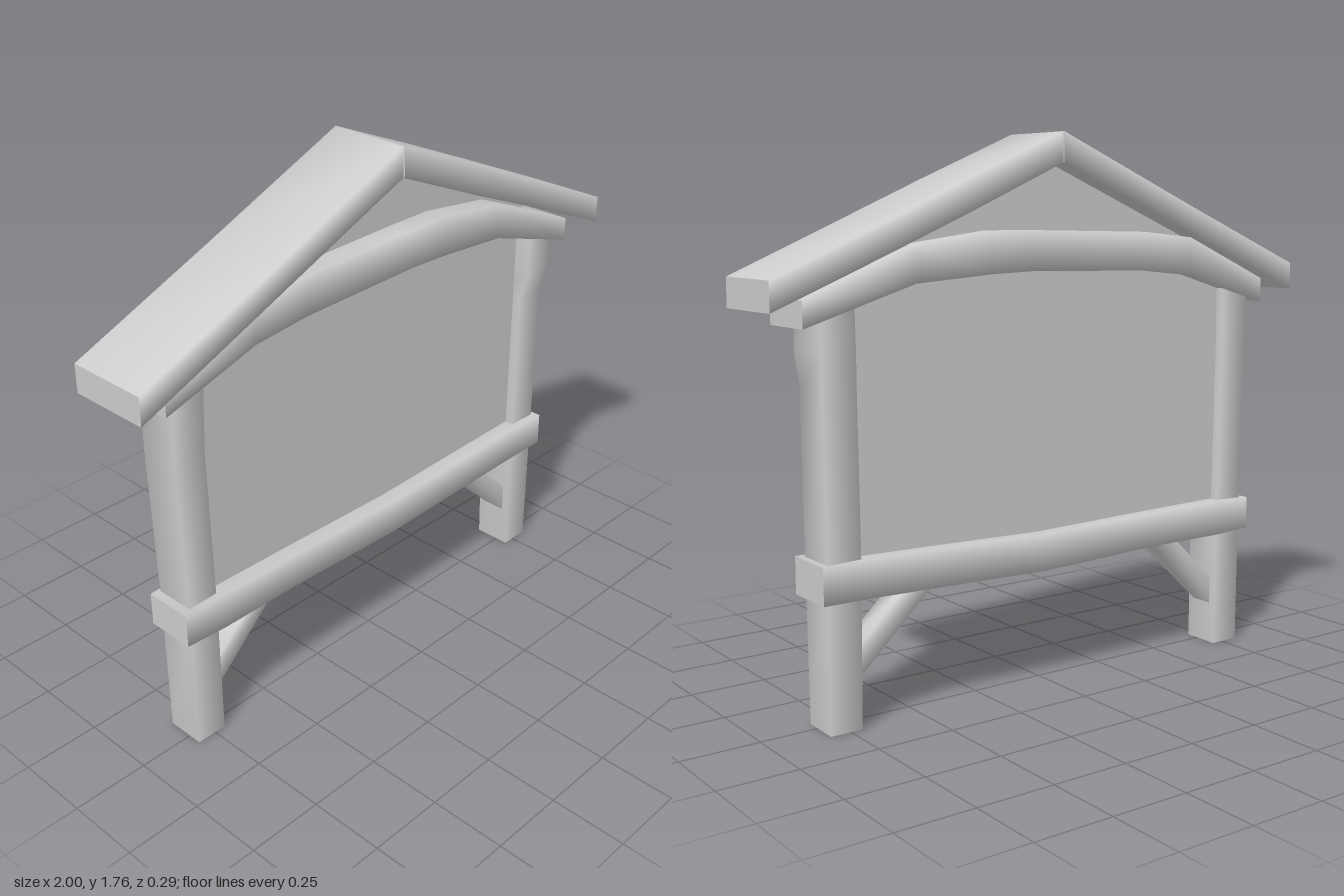
import * as THREE from 'three';

const material = new THREE.MeshStandardMaterial({ color: 0xcccccc });

// Four-sided timber lofted through stations [t, a0, a1, b0, b1], softly shaded with flat end caps.
// axis 'x': t = x, a = y, b = z.  axis 'y': t = y, a = z, b = x.
function timber(name, axis, stations) {
  const positions = [], index = [];
  const push = (t, a, b) => positions.push(...(axis === 'x' ? [t, a, b] : [b, t, a]));
  const ring = ([t, a0, a1, b0, b1]) => {
    push(t, a0, b0); push(t, a1, b0); push(t, a1, b1); push(t, a0, b1);
  };
  stations.forEach(ring);
  for (let k = 0; k < stations.length - 1; k++) {
    for (let i = 0; i < 4; i++) {
      const p = k * 4 + i, q = k * 4 + (i + 1) % 4;
      index.push(p, q, q + 4, p, q + 4, p + 4);
    }
  }
  // End caps use their own corners so the ends stay crisp
  const c = stations.length * 4;
  ring(stations[0]);
  ring(stations[stations.length - 1]);
  index.push(c, c + 2, c + 1, c, c + 3, c + 2, c + 4, c + 5, c + 6, c + 4, c + 6, c + 7);
  const geometry = new THREE.BufferGeometry();
  geometry.setAttribute('position', new THREE.Float32BufferAttribute(positions, 3));
  geometry.setIndex(index);
  geometry.computeVertexNormals();
  const mesh = new THREE.Mesh(geometry, material);
  mesh.name = name;
  return mesh;
}

// Gabled board filling the frame
function boardPanel() {
  const shape = new THREE.Shape([
    [-0.74, 0.45], [0.74, 0.45], [0.74, 1.38], [0, 1.7], [-0.74, 1.38],
  ].map(([x, y]) => new THREE.Vector2(x, y)));
  const geometry = new THREE.ExtrudeGeometry(shape, { depth: 0.075, bevelEnabled: false });
  geometry.translate(0, 0, -0.06);
  const mesh = new THREE.Mesh(geometry, material);
  mesh.name = 'boardPanel';
  return mesh;
}

export function createModel() {
  const group = new THREE.Group();
  group.name = 'noticeBoard';
  group.add(boardPanel());

  // Posts, slightly crooked towards the top
  group.add(timber('rightPost', 'y', [
    [0, -0.085, 0.045, -0.815, -0.71],
    [0.5, -0.09, 0.045, -0.815, -0.71],
    [1.02, -0.09, 0.045, -0.83, -0.72],
    [1.29, -0.09, 0.06, -0.83, -0.72],
  ]));
  group.add(timber('leftPost', 'y', [
    [0, -0.085, 0.045, 0.71, 0.815],
    [0.5, -0.095, 0.045, 0.71, 0.82],
    [1.02, -0.095, 0.045, 0.715, 0.825],
    [1.12, -0.095, 0.075, 0.715, 0.825],
    [1.29, -0.09, 0.075, 0.715, 0.825],
  ]));

  // Lower rail with a small sag
  group.add(timber('lowerRail', 'x', [
    [-0.845, 0.405, 0.515, -0.1, 0.065],
    [-0.7, 0.4, 0.52, -0.105, 0.07],
    [-0.4, 0.4, 0.515, -0.105, 0.07],
    [0.05, 0.385, 0.505, -0.105, 0.07],
    [0.45, 0.395, 0.515, -0.105, 0.07],
    [0.7, 0.4, 0.52, -0.105, 0.07],
    [0.84, 0.4, 0.515, -0.105, 0.07],
  ]));

  // Arched upper beam
  group.add(timber('archedBeam', 'x', [
    [-0.88, 1.21, 1.29, -0.11, 0.09],
    [-0.55, 1.31, 1.435, -0.11, 0.09],
    [-0.35, 1.33, 1.455, -0.11, 0.09],
    [0.1, 1.34, 1.465, -0.11, 0.09],
    [0.25, 1.335, 1.465, -0.11, 0.09],
    [0.52, 1.315, 1.43, -0.11, 0.09],
    [0.89, 1.2, 1.28, -0.11, 0.09],
  ]));

  // Two roof timbers meeting at the ridge; the left one bows backwards
  group.add(timber('rightRoof', 'x', [
    [-1, 1.25, 1.34, -0.135, 0.14],
    [-0.5, 1.46, 1.55, -0.135, 0.14],
    [0, 1.67, 1.765, -0.135, 0.14],
  ]));
  group.add(timber('leftRoof', 'x', [
    [0, 1.67, 1.765, -0.13, 0.145],
    [0.35, 1.52, 1.62, -0.14, 0.14],
    [0.63, 1.405, 1.5, -0.148, 0.135],
    [1, 1.25, 1.34, -0.135, 0.14],
  ]));

  // Diagonal braces under the rail
  for (const [name, side] of [['rightBrace', -1], ['leftBrace', 1]]) {
    const brace = timber(name, 'y', [
      [-0.22, -0.04, 0.04, -0.036, 0.036],
      [0.22, -0.04, 0.04, -0.036, 0.036],
    ]);
    brace.position.set(side * 0.61, 0.285, -0.02);
    brace.rotation.z = side * 0.82;
    group.add(brace);
  }
  return group;
}
